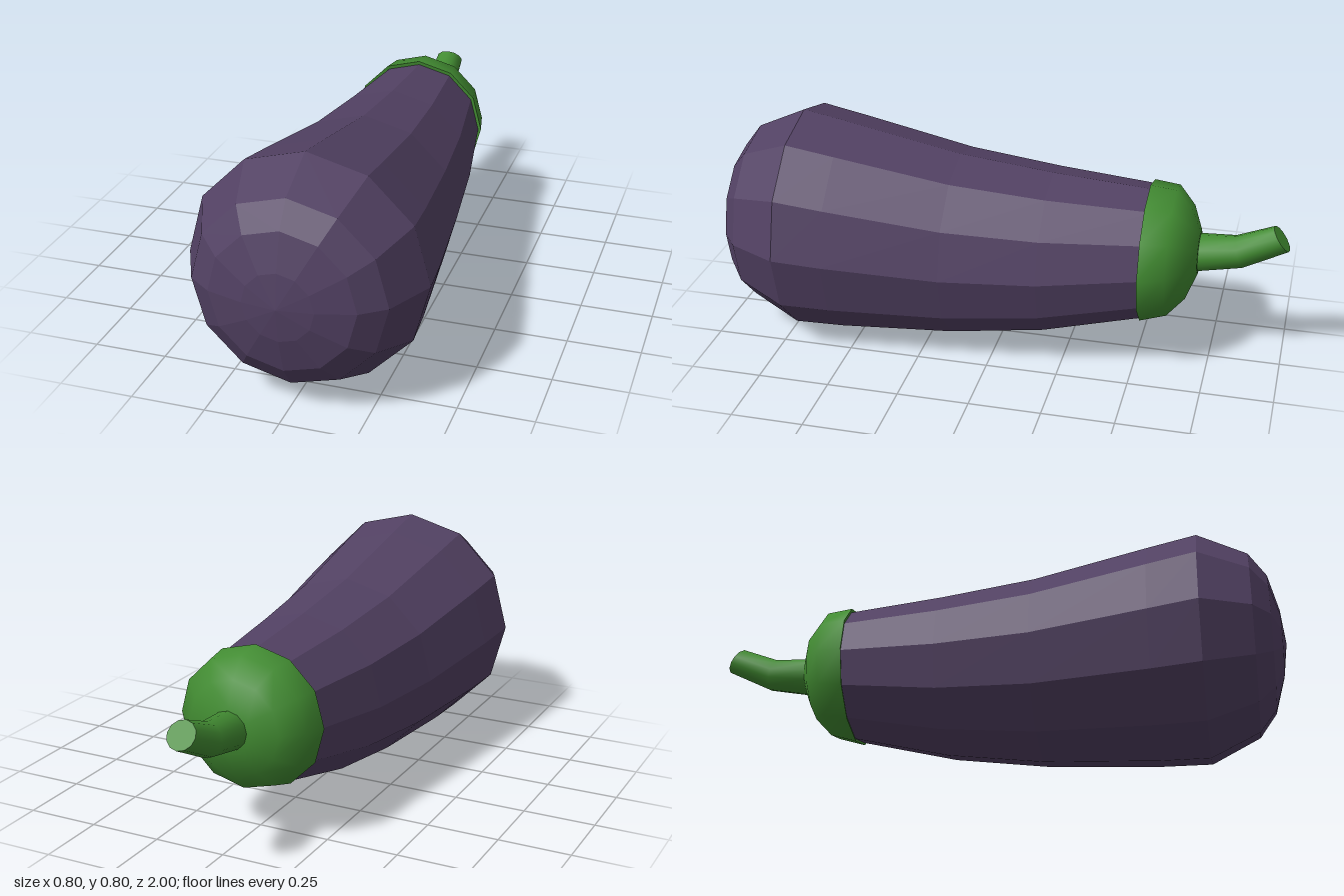
import * as THREE from 'three';

const SIDES = 12;

// Skins rings of [z, centreY, radius, tilt] running from front to back.
function loft(rings) {
  const pos = [], idx = [];
  for (const [z, y, r, tilt = 0] of rings) {
    for (let j = 0; j < SIDES; j++) {
      const a = (j / SIDES) * Math.PI * 2;
      const up = r * Math.sin(a);
      pos.push(r * Math.cos(a), y + up * Math.cos(tilt), z + up * Math.sin(tilt));
    }
  }
  for (let i = 0; i < rings.length - 1; i++) {
    for (let j = 0; j < SIDES; j++) {
      const k = (j + 1) % SIDES;
      const a = i * SIDES + j, b = i * SIDES + k;
      const c = a + SIDES, d = b + SIDES;
      if (rings[i][2] > 0) idx.push(a, d, b);
      if (rings[i + 1][2] > 0) idx.push(a, c, d);
      else idx[idx.length - 2] = c;
    }
  }
  const g = new THREE.BufferGeometry();
  g.setAttribute('position', new THREE.Float32BufferAttribute(pos, 3));
  g.setIndex(idx);
  g.computeVertexNormals();
  return g;
}

export function createModel() {
  const group = new THREE.Group();
  const purple = new THREE.MeshStandardMaterial({ name: 'purpleSkin', color: 0x524163, flatShading: true });
  const green = new THREE.MeshStandardMaterial({ name: 'greenStalk', color: 0x428c32 });

  const add = (name, rings, material) => {
    const mesh = new THREE.Mesh(loft(rings), material);
    mesh.name = name;
    group.add(mesh);
  };

  // Faceted fruit, fat at the front and sagging in the middle
  add('fruitBody', [
    [1.0, 0.405, 0], [0.985, 0.405, 0.117], [0.95, 0.405, 0.24],
    [0.89, 0.405, 0.32], [0.72, 0.403, 0.4], [0.55, 0.388, 0.383],
    [0.15, 0.36, 0.332], [-0.18, 0.365, 0.291], [-0.54, 0.398, 0.232],
  ], purple);

  // Leafy cap: a thin front lip and a smooth dome
  add('capLip', [[-0.52, 0.398, 0.22], [-0.515, 0.398, 0.247]], green);
  add('capDome', [
    [-0.515, 0.398, 0.247], [-0.605, 0.408, 0.228], [-0.663, 0.408, 0.163],
    [-0.695, 0.41, 0.08], [-0.7, 0.41, 0],
  ], green);

  // Bent, tapering stem with a flat cut end
  const tip = [-0.97, 0.495, 0.05, 0.64];
  add('stem', [[-0.68, 0.41, 0.067, 0.08], [-0.83, 0.43, 0.057, 0.3], tip], green);
  add('stemEnd', [tip, [-0.97, 0.495, 0, 0.64]], green);

  return group;
}
